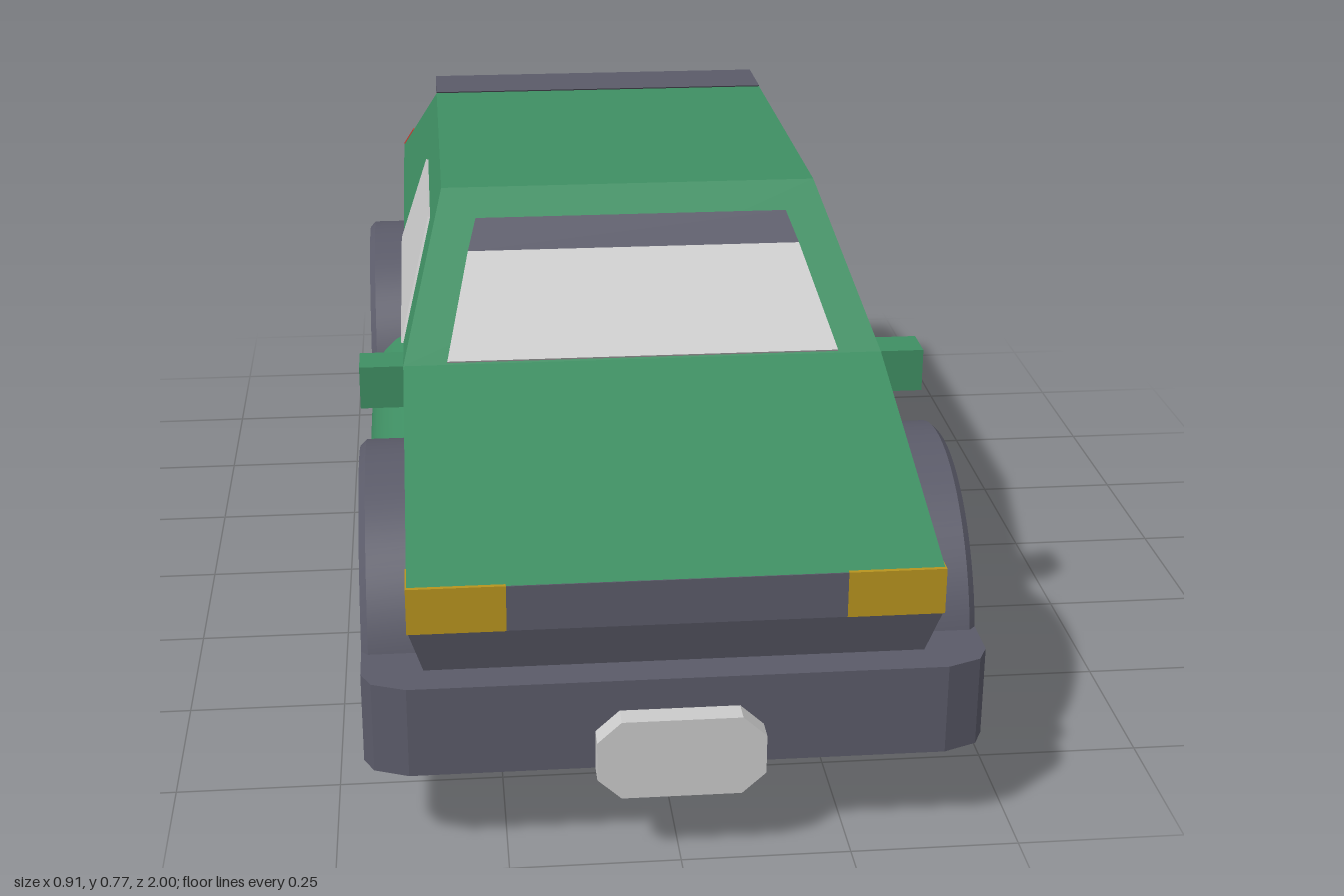
import * as THREE from 'three';
import { ConvexGeometry } from 'three/addons/geometries/ConvexGeometry.js';
import { toCreasedNormals } from 'three/addons/utils/BufferGeometryUtils.js';

const mat = (color) => new THREE.MeshStandardMaterial({ color });
const paint = mat(0x3f8f63), trim = mat(0x5b5b69), rubber = mat(0x262626), rim = mat(0x787d94);
const amber = mat(0xb8941f), red = mat(0xc8392f), glass = mat(0xbcbcbc), floor = mat(0x29282f);
const V = (x, y, z) => new THREE.Vector3(x, y, z);

export function createModel() {
  const car = new THREE.Group();
  car.name = 'car';

  const add = (name, geometry, material, x = 0, y = 0, z = 0) => {
    const mesh = new THREE.Mesh(geometry, material);
    mesh.name = name;
    mesh.position.set(x, y, z);
    car.add(mesh);
    return mesh;
  };
  const box = (name, material, x0, x1, y0, y1, z0, z1) =>
    add(name, new THREE.BoxGeometry(Math.abs(x1 - x0), y1 - y0, z1 - z0), material,
      (x0 + x1) / 2, (y0 + y1) / 2, (z0 + z1) / 2);
  // Convex solid mirrored in x, from [halfWidth, y, z] corners
  const solid = (name, material, corners) =>
    add(name, new ConvexGeometry(corners.flatMap(([x, y, z]) => [V(x, y, z), V(-x, y, z)])), material);
  // Thin flat panel lying on a body surface
  const panel = (name, material, corners, t = 0.004) => {
    const p = corners.map((c) => V(...c));
    const n = p[1].clone().sub(p[0]).cross(p[2].clone().sub(p[0])).setLength(t);
    add(name, new ConvexGeometry(p.flatMap((q) => [q.clone().add(n), q.clone().sub(n)])), material);
  };

  // Body shell: wedge-shaped lower half and tapered cabin
  solid('lowerBody', paint, [[0.385, 0.35, 0.925], [0.385, 0.42, 0.93], [0.385, 0.56, 0.42],
    [0.385, 0.56, -0.89], [0.385, 0.35, -0.89]]);
  solid('cabin', paint, [[0.385, 0.56, 0.42], [0.315, 0.77, 0.14],
    [0.315, 0.77, -0.5], [0.385, 0.56, -0.89]]);
  solid('spoiler', trim, [[0.315, 0.772, -0.5], [0.315, 0.772, -0.63], [0.315, 0.69, -0.63]]);
  solid('valance', trim, [[0.385, 0.35, 0.93], [0.385, 0.35, -0.89],
    [0.365, 0.28, 0.91], [0.365, 0.28, -0.92]]);
  box('chassis', floor, -0.385, 0.385, 0.145, 0.285, -0.76, 0.8);
  box('floorPan', floor, -0.4, 0.4, 0.138, 0.16, -0.755, 0.93);

  // Windscreen and its shade strip follow the sloping front of the cabin
  const screenZ = (y) => 0.42 - (y - 0.56) * 0.28 / 0.21;
  const screen = (name, m, y0, x0, y1, x1) => panel(name, m, [[-x0, y0, screenZ(y0)],
    [x0, y0, screenZ(y0)], [x1, y1, screenZ(y1)], [-x1, y1, screenZ(y1)]]);
  screen('windscreen', glass, 0.562, 0.315, 0.69, 0.275);
  screen('shadeStrip', trim, 0.69, 0.275, 0.73, 0.26);

  // Nose and tail
  box('grille', trim, -0.245, 0.245, 0.35, 0.42, 0.9, 0.932);
  box('tailPanel', trim, -0.2, 0.2, 0.35, 0.5, -0.894, -0.87);

  // Bumpers with clipped corners; the rear one sits higher above the ground
  for (const [name, s, back, y0] of [['frontBumper', 1, 0.79, 0.14], ['rearBumper', -1, 0.755, 0.215]]) {
    const plan = [[0.455, back], [0.455, 0.915], [0.44, 0.945], [0.39, 0.965]];
    solid(name, trim, plan.flatMap(([x, z]) => [[x, y0, s * z], [x, 0.28, s * z]]));
  }
  // Eight-sided plates on the bumpers
  for (const [name, s, y] of [['frontPlate', 1, 0.17], ['rearPlate', -1, 0.24]]) {
    const outline = [[0.087, -0.062], [0.122, -0.03], [0.122, 0.03], [0.087, 0.062]];
    solid(name, glass, outline.flatMap(([x, dy]) => [[x, y + dy, s * 0.95], [x, y + dy, s]]));
  }

  // Shared wheel, arch and sill shapes, made for the +x side
  const lathe = (pts) => toCreasedNormals(new THREE.LatheGeometry(
    pts.map(([r, x]) => new THREE.Vector2(r, x)), 36).rotateZ(-Math.PI / 2), 0.4);
  const tyreGeo = lathe([[0, 0.178], [0.18, 0.178], [0.21, 0.25], [0.21, 0.35],
    [0.18, 0.42], [0.15, 0.42], [0.125, 0.405]]);
  const rimGeo = lathe([[0.128, 0.4], [0.125, 0.412], [0.115, 0.418], [0.088, 0.418],
    [0.068, 0.392], [0, 0.392]]);

  const archShape = new THREE.Shape();
  archShape.absarc(0, 0, 0.265, -0.24, Math.PI + 0.24, false);
  archShape.absarc(0, 0, 0.22, Math.PI + 0.28, -0.28, true);
  const archGeo = toCreasedNormals(new THREE.ExtrudeGeometry(archShape, {
    depth: 0.105, curveSegments: 28, bevelSize: 0.01, bevelThickness: 0.01, bevelSegments: 1,
  }).rotateY(Math.PI / 2).translate(0.34, 0, 0), 0.4);

  const sillShape = new THREE.Shape();
  sillShape.moveTo(0.36, 0.145);
  sillShape.lineTo(0.4, 0.145);
  sillShape.bezierCurveTo(0.475, 0.19, 0.475, 0.31, 0.385, 0.355);
  sillShape.lineTo(0.36, 0.355);
  const sillGeo = toCreasedNormals(new THREE.ExtrudeGeometry(sillShape, {
    depth: 0.64, bevelEnabled: false, curveSegments: 10,
  }).translate(0, 0, -0.32), 0.5);

  for (const s of [1, -1]) {
    const side = s > 0 ? 'left' : 'right';
    const turn = s > 0 ? 0 : Math.PI;

    for (const [end, z] of [['Front', 0.59], ['Rear', -0.55]]) {
      add(`${side}${end}Tyre`, tyreGeo, rubber, 0, 0.21, z).rotation.y = turn;
      add(`${side}${end}Rim`, rimGeo, rim, 0, 0.21, z).rotation.y = turn;
      add(`${side}${end}Arch`, archGeo, trim, 0, 0.21, z).rotation.y = turn;
    }
    add(`${side}Sill`, sillGeo, paint, 0, 0, 0.025).rotation.y = turn;

    // Side window on the tapered cabin wall
    const wallX = (y) => s * (0.385 - (y - 0.56) / 3);
    panel(`${side}Window`, glass, [[0.56, 0.315], [0.71, 0.11], [0.71, -0.245], [0.56, -0.245]]
      .map(([y, z]) => [wallX(y), y, z]));

    // Lamps
    box(`${side}Headlamp`, amber, s * 0.245, s * 0.387, 0.35, 0.421, 0.866, 0.933);
    const tailZ = (y) => -0.89 + (y - 0.56) * 0.39 / 0.21;
    panel(`${side}TailLamp`, red, [[s * 0.305, 0.56, tailZ(0.56)], [wallX(0.56), 0.56, tailZ(0.56)],
      [wallX(0.625), 0.625, tailZ(0.625)], [s * 0.305, 0.625, tailZ(0.625)]]);

    // Door mirror with glass facing back
    box(`${side}Mirror`, paint, s * 0.38, s * 0.455, 0.49, 0.56, 0.355, 0.42);
    box(`${side}MirrorGlass`, glass, s * 0.39, s * 0.45, 0.495, 0.555, 0.351, 0.36);
  }
  return car;
}
